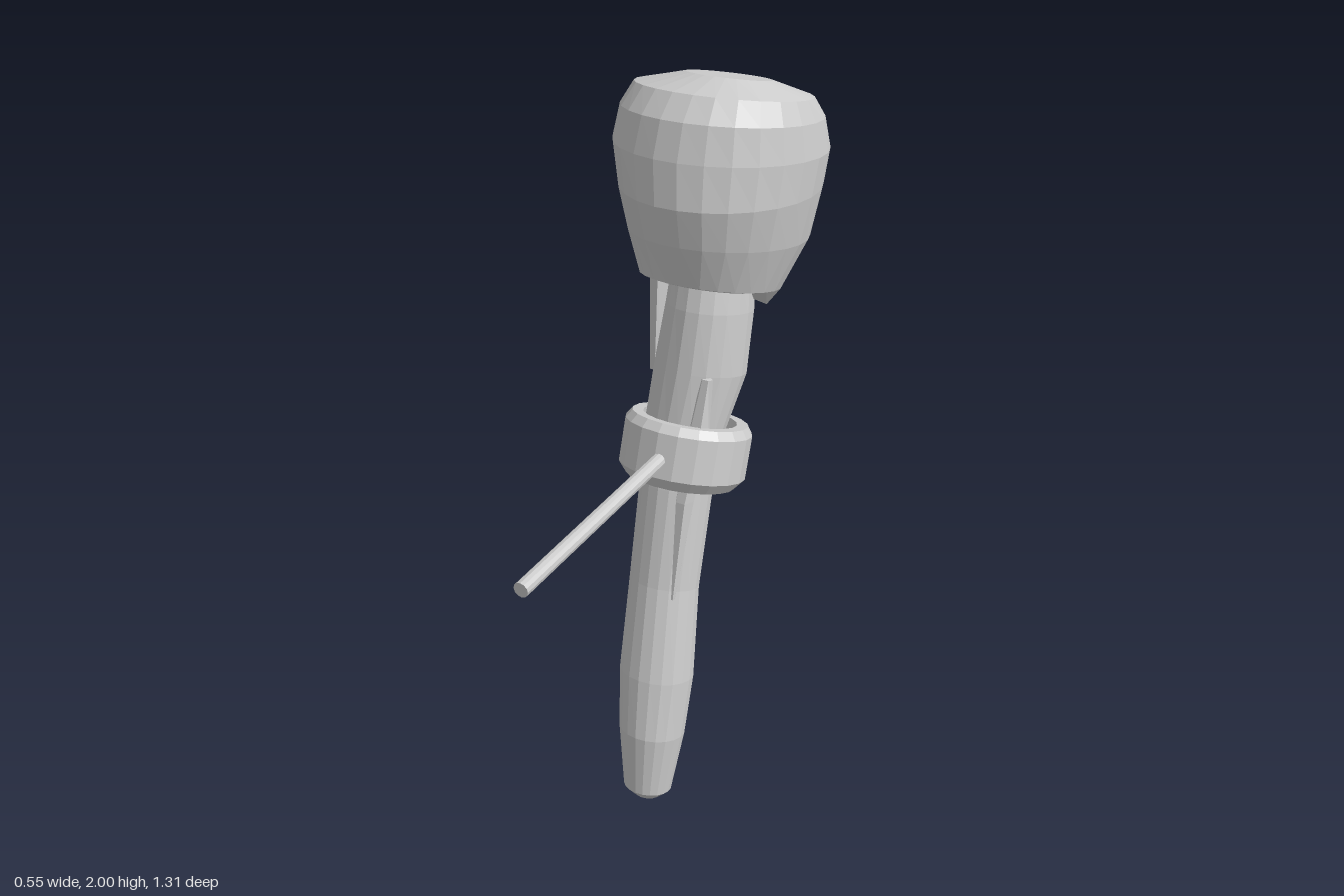
import * as THREE from 'three';

const material = new THREE.MeshStandardMaterial({ color: 0xcccccc, flatShading: true });

// Loft through tilted oval sections, bottom to top.
// Section: [xMin, xMax, zFront, yFront, zBack, yBack, drop of the back part]
function loft(name, sections, sides) {
  const pos = [], idx = [];
  for (const [x0, x1, zf, yf, zb, yb, drop = 0] of sections) {
    for (let i = 0; i < sides; i++) {
      const a = (i / sides) * Math.PI * 2;
      const t = (1 - Math.sin(a)) / 2;
      pos.push(
        (x0 + x1) / 2 + ((x1 - x0) / 2) * Math.cos(a),
        THREE.MathUtils.lerp(yf, yb, t) - (t > 0.68 ? drop : 0),
        THREE.MathUtils.lerp(zf, zb, t));
    }
  }
  for (let j = 0; j < sections.length - 1; j++) {
    for (let i = 0; i < sides; i++) {
      const k = (i + 1) % sides;
      const a = j * sides + i, b = j * sides + k;
      idx.push(a, a + sides, b + sides, a, b + sides, b);
    }
  }
  // End caps
  for (const [s, row, top] of [[sections[0], 0, false], [sections.at(-1), sections.length - 1, true]]) {
    const c = pos.length / 3;
    pos.push((s[0] + s[1]) / 2, (s[3] + s[5]) / 2, (s[2] + s[4]) / 2);
    for (let i = 0; i < sides; i++) {
      const a = row * sides + i, b = row * sides + (i + 1) % sides;
      if (top) idx.push(c, b, a);
      else idx.push(c, a, b);
    }
  }
  const geometry = new THREE.BufferGeometry();
  geometry.setAttribute('position', new THREE.Float32BufferAttribute(pos, 3));
  geometry.setIndex(idx);
  geometry.computeVertexNormals();
  const mesh = new THREE.Mesh(geometry, material);
  mesh.name = name;
  return mesh;
}

export function createModel() {
  const model = new THREE.Group();
  model.name = 'implantCrown';

  // Tapered root with a blunt tip
  model.add(loft('root', [
    [0.02, 0.095, 0.16, 0.02, 0.08, 0],
    [-0.01, 0.125, 0.19, 0.06, 0.05, 0.02],
    [-0.04, 0.145, 0.18, 0.25, -0.01, 0.2],
    [-0.065, 0.145, 0.14, 0.42, -0.065, 0.37],
    [-0.075, 0.12, 0.06, 0.68, -0.13, 0.62],
    [-0.085, 0.115, -0.01, 0.95, -0.215, 0.89],
    [-0.1, 0.12, -0.06, 1.12, -0.265, 1.05],
  ], 20));

  // Post between the root and the crown
  model.add(loft('abutment', [
    [-0.1, 0.12, -0.06, 1.1, -0.265, 1.04],
    [-0.1, 0.145, -0.095, 1.26, -0.36, 1.19],
    [-0.085, 0.14, -0.13, 1.42, -0.4, 1.36],
    [-0.08, 0.13, -0.16, 1.52, -0.41, 1.43],
  ], 20));

  // Thin wedge along the post, running through the collar
  model.add(loft('wedge', [
    [0.085, 0.095, 0.045, 0.65, 0.03, 0.65],
    [0.06, 0.112, 0, 0.93, -0.065, 0.93],
    [0.06, 0.125, -0.05, 1.08, -0.12, 1.08],
    [0.08, 0.115, -0.11, 1.25, -0.13, 1.25],
  ], 6));

  // Narrow rib on the other side, under the crown
  model.add(loft('rib', [
    [-0.1, -0.07, -0.15, 1.22, -0.2, 1.22],
    [-0.105, -0.06, -0.15, 1.5, -0.26, 1.46],
  ], 6));

  // Crown with a stepped lower margin and a low mound on top
  model.add(loft('crown', [
    [-0.14, 0.18, -0.1, 1.5, -0.41, 1.42, 0.045],
    [-0.165, 0.205, -0.08, 1.51, -0.475, 1.41],
    [-0.21, 0.25, -0.055, 1.62, -0.585, 1.54],
    [-0.24, 0.27, -0.04, 1.72, -0.63, 1.69],
    [-0.272, 0.275, -0.06, 1.83, -0.655, 1.77],
    [-0.255, 0.26, -0.09, 1.92, -0.625, 1.85],
    [-0.225, 0.235, -0.14, 1.975, -0.575, 1.9],
    [-0.08, 0.14, -0.23, 2, -0.44, 1.955],
  ], 26));

  // Collar with bevelled edges around the post
  const profile = [
    [0.128, -0.085], [0.15, -0.085], [0.174, -0.055], [0.174, 0.065],
    [0.158, 0.088], [0.128, 0.088], [0.128, -0.085],
  ].map(([r, y]) => new THREE.Vector2(r, y));
  const collar = new THREE.Mesh(new THREE.LatheGeometry(profile, 20), material);
  collar.name = 'collar';
  collar.position.set(0.024, 1.015, -0.142);
  collar.rotation.x = -0.31;
  model.add(collar);

  // Straight handle rod at the front of the collar
  const from = new THREE.Vector3(0.034, 1.06, -0.03);
  const to = new THREE.Vector3(0.034, 1.028, 0.656);
  const rod = new THREE.Mesh(new THREE.CylinderGeometry(0.02, 0.02, from.distanceTo(to), 12), material);
  rod.name = 'rod';
  rod.position.copy(from).lerp(to, 0.5);
  rod.quaternion.setFromUnitVectors(new THREE.Vector3(0, 1, 0), to.clone().sub(from).normalize());
  model.add(rod);

  return model;
}
